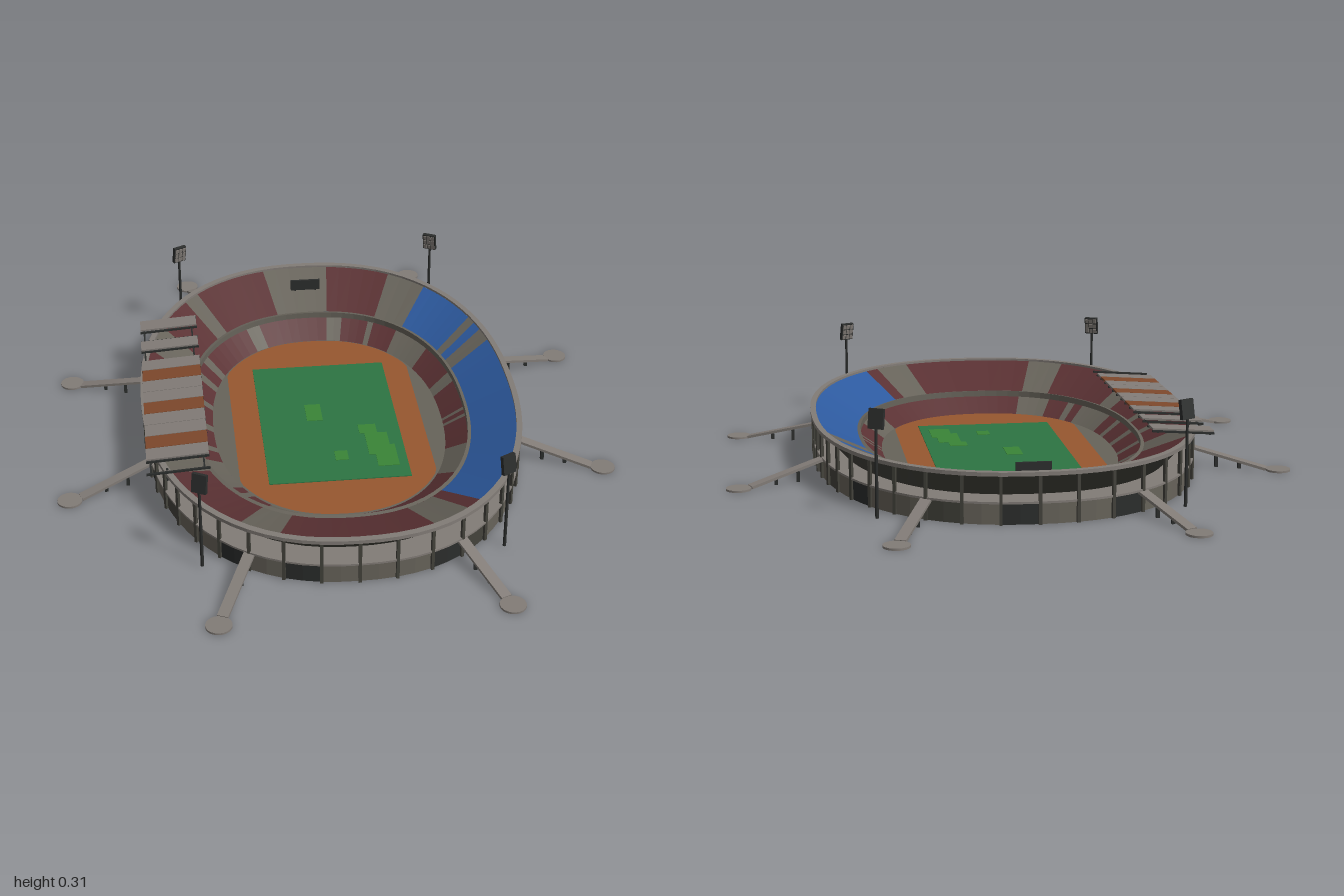
import * as THREE from 'three';

const mat = (name, color) => {
  const m = new THREE.MeshStandardMaterial({ color });
  m.name = name;
  return m;
};

export function createModel() {
  const M = {
    concrete: mat('concrete', 0x67635a), pale: mat('pale concrete', 0x827c77),
    dark: mat('dark steel', 0x2b2d2c), under: mat('shaded concrete', 0x43423b),
    maroon: mat('maroon seats', 0x5a3133), blue: mat('blue seats', 0x2d5a9f),
    clay: mat('clay track', 0x97572f), grass: mat('grass', 0x2d7543),
    fresh: mat('light grass', 0x3a8537), rust: mat('rusty roofing', 0x7e482c),
  };
  const root = new THREE.Group();
  root.name = 'stadium';
  const RAD = Math.PI / 180;

  // Rounded oval: radius in a given direction (x toward z)
  const oval = (a, b, deg) => {
    const c = Math.cos(deg * RAD), s = Math.sin(deg * RAD), n = 2.3;
    const r = (Math.abs(c / a) ** n + Math.abs(s / b) ** n) ** (-1 / n);
    return [r * c, r * s];
  };

  const add = (geo, material, name, parent = root) => {
    const m = new THREE.Mesh(geo, material);
    m.name = name;
    parent.add(m);
    return m;
  };
  const box = (w, h, d, material, name, x, y, z, parent) => {
    const m = add(new THREE.BoxGeometry(w, h, d), material, name, parent);
    m.position.set(x, y, z);
    return m;
  };

  // Surface swept round the oval; profile is a list of [a, b, y]
  const band = (name, profile, material, from = 0, to = 360) => {
    const pos = [], n = Math.max(1, Math.ceil((to - from) / 3.75));
    const at = ([a, b, y], t) => { const [x, z] = oval(a, b, t); return [x, y, z]; };
    for (let i = 0; i < n; i++) {
      const t0 = from + (to - from) * i / n, t1 = from + (to - from) * (i + 1) / n;
      for (let j = 0; j + 1 < profile.length; j++) {
        const p = at(profile[j], t0), q = at(profile[j + 1], t0);
        const r = at(profile[j + 1], t1), s = at(profile[j], t1);
        pos.push(...p, ...s, ...r, ...p, ...r, ...q);
      }
    }
    const g = new THREE.BufferGeometry();
    g.setAttribute('position', new THREE.Float32BufferAttribute(pos, 3));
    g.computeVertexNormals();
    return add(g, material, name);
  };

  // Tier of coloured sectors, with concrete in the gaps
  const tier = (name, profile, sectors) => {
    let end = sectors[0][0];
    const stop = end + 360;
    for (const [from, to, m] of sectors) {
      if (from > end) band(name + 'Aisle', profile, M.concrete, end, from);
      band(name + 'Seats', profile, m, from, to);
      end = to;
    }
    if (end < stop) band(name + 'Aisle', profile, M.concrete, end, stop);
  };

  const R = M.maroon, B = M.blue;
  tier('lowerTier', [[0.36, 0.51, 0.012], [0.425, 0.595, 0.055]], [
    [-17, 4, R], [6, 9, R], [11, 30, R], [48, 105, R], [116, 124, R], [127, 131, R],
    [150, 158, R], [162, 176, R], [181, 196, R], [200, 212, R], [216, 222, R],
    [226, 248, R], [253, 276, R], [281, 290, R], [292, 301, R], [317, 336, R],
  ]);
  tier('upperTier', [[0.435, 0.607, 0.072], [0.563, 0.802, 0.141]], [
    [-57, -37, B], [-33.5, -29.5, B], [-23, 61, B], [61, 65, R], [74, 106, R],
    [115, 140, R], [148, 168, R], [173, 188, R], [193, 208, R],
    [221, 235, R], [240, 260, R], [276, 292, R],
  ]);

  // Shell: floor, walkway, rim, raked underside, deck and base
  band('floor', [[0.001, 0.001, 0.012], [0.36, 0.51, 0.012]], M.concrete);
  band('tierWalkway', [[0.425, 0.595, 0.055], [0.425, 0.595, 0.074], [0.435, 0.607, 0.072]], M.concrete);
  band('rim', [[0.563, 0.802, 0.141], [0.563, 0.802, 0.148], [0.58, 0.822, 0.148],
    [0.58, 0.822, 0.137], [0.563, 0.802, 0.137]], M.pale);
  band('upperTierUnderside', [[0.57, 0.81, 0.138], [0.505, 0.735, 0.065]], M.under);
  band('outerDeck', [[0.49, 0.72, 0.065], [0.575, 0.816, 0.065], [0.575, 0.816, 0.059], [0.568, 0.808, 0.059]], M.pale);
  band('base', [[0.568, 0.808, 0.001], [0.355, 0.505, 0.001]], M.concrete);
  band('pitchBase', [[0.355, 0.505, 0.001], [0.001, 0.001, 0.001]], M.under);

  // Ground-level wall bays and perimeter columns
  const bays = 48, step = 360 / bays;
  for (let i = 0; i < bays; i++) {
    const t = i * step;
    const m = [2, 9, 13, 15, 20, 26, 33, 36, 41, 46].includes(i) ? M.dark : (i * 7) % 5 === 1 ? M.under : M.concrete;
    band('wallBay', [[0.568, 0.808, 0.062], [0.568, 0.808, 0]], m, t, t + step);
    const [x, z] = oval(0.572, 0.812, t);
    box(0.009, 0.138, 0.009, M.under, 'column', x, 0.069, z).rotation.y = -t * RAD;
  }

  // Track with straight sides, pitch and fresh turf patches
  const track = new THREE.Shape();
  for (let i = 0; i < 96; i++) {
    const [x, z] = oval(0.355, 0.505, i * 3.75);
    const cx = THREE.MathUtils.clamp(x, -0.297, 0.297);
    i ? track.lineTo(cx, z) : track.moveTo(cx, z);
  }
  const trackMesh = add(new THREE.ShapeGeometry(track), M.clay, 'runningTrack');
  trackMesh.rotation.x = -Math.PI / 2;
  trackMesh.position.y = 0.014;
  box(0.43, 0.004, 0.67, M.grass, 'pitch', 0.003, 0.0145, 0);
  for (const [x0, x1, z0, z1] of [[-0.065, -0.015, -0.095, 0], [0.09, 0.145, 0.04, 0.09],
    [0.105, 0.175, 0.09, 0.21], [0.125, 0.19, 0.16, 0.275], [0, 0.04, 0.18, 0.23]]) {
    box(x1 - x0, 0.003, z1 - z0, M.fresh, 'turfPatch', (x0 + x1) / 2, 0.0165, (z0 + z1) / 2);
  }

  // Partly stripped stand roof: beams, purlins and roofing sheets
  const roof = new THREE.Group();
  roof.name = 'standRoof';
  roof.position.set(-0.48, 0.156, 0);
  roof.rotation.z = 0.07;
  root.add(roof);
  for (let i = 0; i < 15; i++) {
    const z = -0.45 + i * 0.89 / 14;
    box(0.185, 0.006, 0.006, M.dark, 'roofBeam', 0, -0.001, z, roof);
  }
  for (const x of [-0.08, 0.075]) box(0.005, 0.005, 0.89, M.dark, 'purlin', x, -0.004, -0.005, roof);
  const P = M.pale, U = M.rust;
  for (const [z0, z1, m] of [[-0.45, -0.39, P], [-0.315, -0.26, P], [-0.19, -0.132, P], [-0.13, -0.067, U],
    [-0.065, -0.002, P], [0, 0.06, P], [0.062, 0.125, U], [0.127, 0.188, P], [0.19, 0.25, P],
    [0.252, 0.315, U], [0.317, 0.375, P]]) {
    box(0.183, 0.005, z1 - z0, m, 'roofSheet', 0, 0.005, (z0 + z1) / 2, roof);
  }
  for (let i = 0; i < 8; i++) {
    const z = -0.42 + i * 0.12, x = oval(0.56, 0.8, 180 + Math.atan2(z, 0.56) / RAD)[0];
    box(0.006, 0.04, 0.006, M.dark, 'roofPost', Math.max(x, -0.56), 0.132, z);
  }

  // Access ramps with supports and round landings
  for (const sx of [-1, 1]) for (const sz of [-1, 1]) {
    for (const [x0, z0, x1, z1] of [[0.555, 0.235, 0.77, 0.322], [0.295, 0.715, 0.388, 0.93]]) {
      const a = new THREE.Vector3(sx * x0, 0.06, sz * z0), b = new THREE.Vector3(sx * x1, 0.004, sz * z1);
      const ramp = box(0.032, 0.008, a.distanceTo(b), M.pale, 'ramp', 0, 0, 0);
      ramp.position.lerpVectors(a, b, 0.5);
      ramp.lookAt(b);
      for (const k of [0.35, 0.65]) {
        const p = a.clone().lerp(b, k);
        box(0.01, p.y, 0.01, M.dark, 'rampSupport', p.x, p.y / 2, p.z);
      }
      const dx = x0 > 0.5 ? 0.803 : 0.4, dz = x0 > 0.5 ? 0.335 : 0.963;
      const disc = add(new THREE.CylinderGeometry(0.037, 0.037, 0.006, 20), M.pale, 'rampLanding');
      disc.position.set(sx * dx, 0.003, sz * dz);
    }

    // Floodlight mast with a lamp panel tilted toward the pitch
    const mast = add(new THREE.CylinderGeometry(0.004, 0.005, 0.26, 8), M.dark, 'floodlightMast');
    mast.position.set(sx * 0.43, 0.13, sz * 0.69);
    const head = new THREE.Group();
    head.name = 'floodlight';
    head.position.set(sx * 0.428, 0.277, sz * 0.687);
    head.lookAt(sx * 0.06, 0.14, 0);
    root.add(head);
    box(0.044, 0.056, 0.012, M.dark, 'lampHousing', 0, 0, 0, head);
    for (const u of [-1, 0, 1]) for (const v of [-1, 0, 1]) {
      box(0.011, 0.014, 0.003, M.pale, 'lamp', u * 0.0135, v * 0.0175, 0.007, head);
    }
  }

  // Scoreboard above the far end
  box(0.1, 0.036, 0.008, M.dark, 'scoreboard', 0, 0.128, -0.7);
  for (const x of [-0.035, 0.035]) box(0.005, 0.03, 0.005, M.dark, 'scoreboardPost', x, 0.105, -0.702);

  return root;
}
